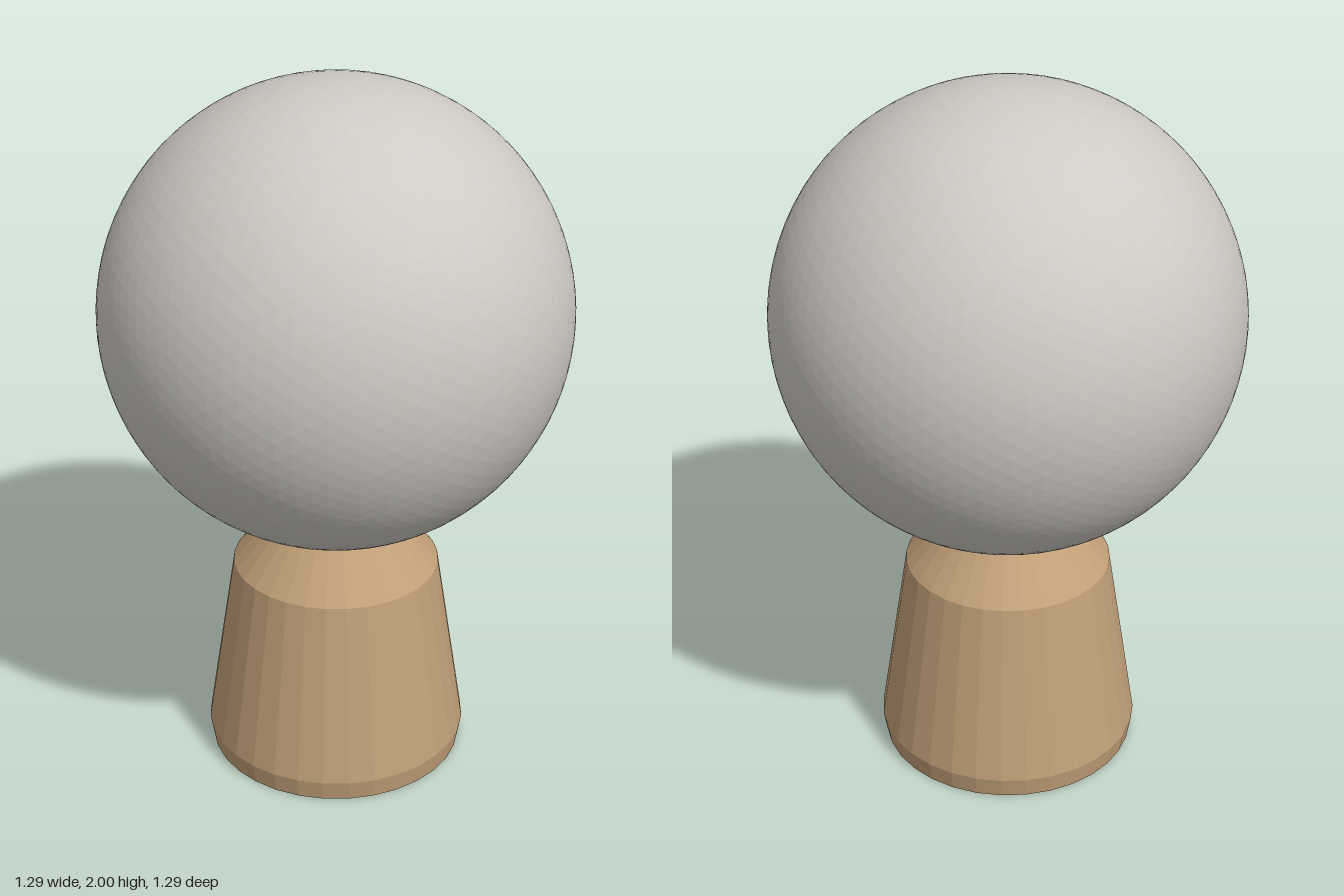
import * as THREE from 'three';

export function createModel() {
  const group = new THREE.Group();
  const paleGrey = new THREE.MeshStandardMaterial({ color: 0xcdc9c3, flatShading: true });
  paleGrey.name = 'pale grey';
  const tan = new THREE.MeshStandardMaterial({ color: 0xc2a078, flatShading: true });
  tan.name = 'tan';

  // Finely faceted ball head
  const head = new THREE.Mesh(new THREE.IcosahedronGeometry(0.646, 15), paleGrey);
  head.name = 'head';
  head.position.y = 1.354;
  group.add(head);

  // Tapered body with a chamfered foot and a sloping shoulder, closed at both ends
  const profile = [
    [0, 0], [0.364, 0], [0.374, 0.06], [0.293, 0.59], [0.178, 0.735], [0, 0.735],
  ].map(([r, y]) => new THREE.Vector2(r, y));
  const body = new THREE.Mesh(new THREE.LatheGeometry(profile, 32), tan);
  body.name = 'body';
  group.add(body);

  return group;
}
